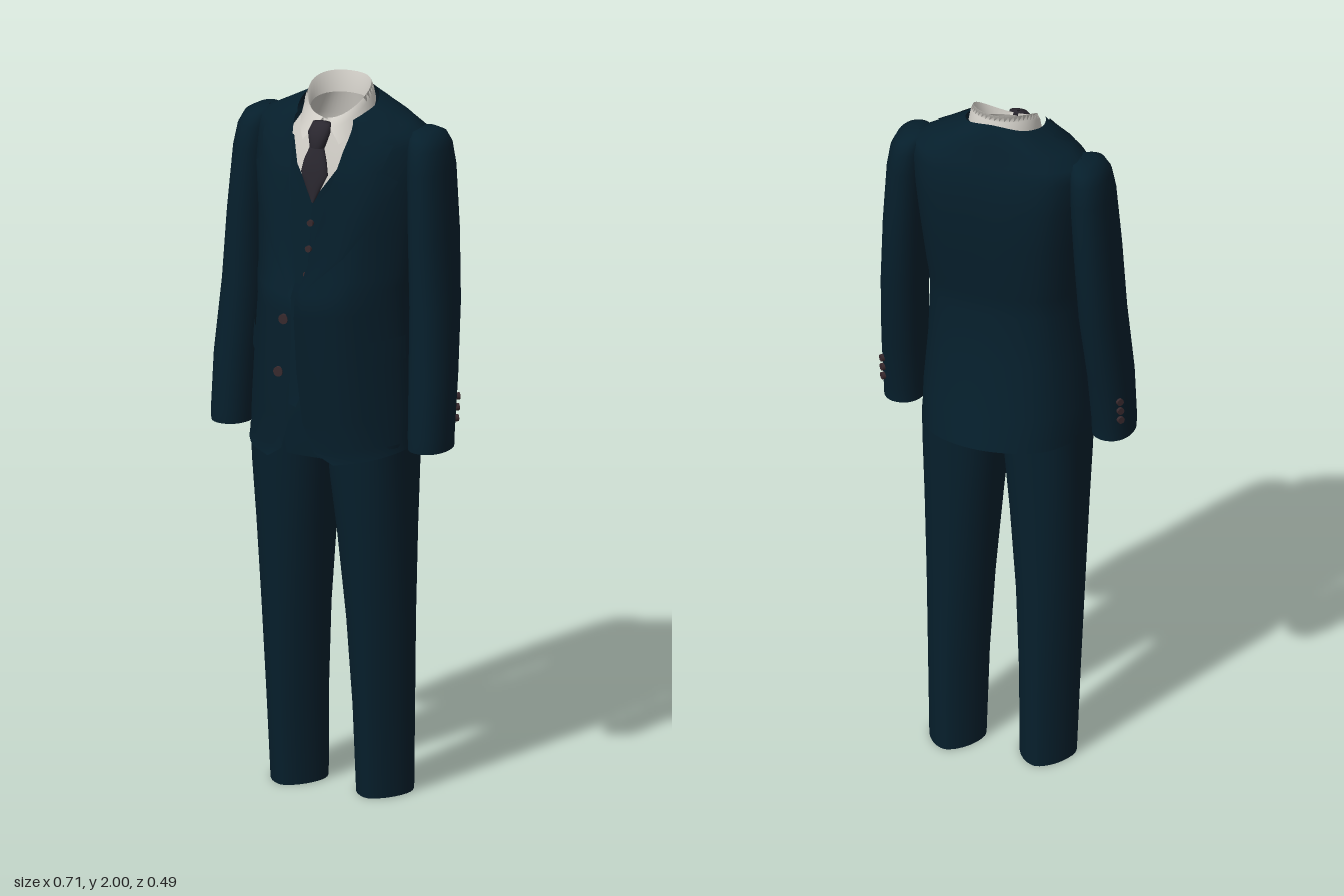
import * as THREE from 'three';

const mat = (name, color) => new THREE.MeshStandardMaterial({ name, color, side: THREE.DoubleSide });
const V = (x, y, z) => new THREE.Vector3(x, y, z);

// Skin a list of equal-length point rings
function loft(rings, closed) {
  const n = rings[0].length, idx = [];
  const pos = rings.flatMap(r => r.flatMap(p => [p.x, p.y, p.z]));
  for (let r = 0; r < rings.length - 1; r++) {
    for (let i = 0; i < (closed ? n : n - 1); i++) {
      const a = r * n + i, b = r * n + (i + 1) % n;
      idx.push(a, a + n, b, b, a + n, b + n);
    }
  }
  const g = new THREE.BufferGeometry();
  g.setAttribute('position', new THREE.Float32BufferAttribute(pos, 3));
  g.setIndex(idx);
  g.computeVertexNormals();
  return g;
}

// Closed ring; p below 1 makes it squarer, above 1 more creased
function ring(cx, y, cz, rx, rz, p = 1, n = 28) {
  const f = v => Math.sign(v) * Math.abs(v) ** p;
  return Array.from({ length: n }, (_, i) => {
    const a = i / n * Math.PI * 2;
    return V(cx + rx * f(Math.sin(a)), y, cz + rz * f(Math.cos(a)));
  });
}

// Garment levels: y, front edge x, front z, half width, side z, back z, front dy, back dy, back fullness
const JACKET = [
  [1.0, 0.1, 0.195, 0.235, 0.0, -0.244, -0.018, 0.015, 0.73],
  [1.03, 0.05, 0.212, 0.235, 0.0, -0.238, -0.015, 0.01, 0.73],
  [1.1, 0.022, 0.226, 0.234, 0.0, -0.222, 0, 0, 0.74],
  [1.25, 0.01, 0.238, 0.224, 0.0, -0.185, 0, 0, 0.76],
  [1.4, 0.004, 0.242, 0.217, -0.01, -0.168, 0, 0, 0.8],
  [1.46, 0.006, 0.24, 0.22, -0.015, -0.174, 0, 0, 0.82],
  [1.49, 0.012, 0.203, 0.224, -0.02, -0.178, 0, 0, 0.82],
  [1.62, 0.036, 0.172, 0.235, -0.04, -0.192, 0, 0, 0.85],
  [1.75, 0.062, 0.135, 0.25, -0.05, -0.2, 0, 0, 0.87],
  [1.84, 0.077, 0.094, 0.258, -0.07, -0.192, 0, 0, 0.87],
  [1.875, 0.085, 0.074, 0.25, -0.075, -0.177, 0, 0, 0.85],
  [1.9, 0.088, 0.063, 0.2, -0.07, -0.167, -0.005, 0.02, 0.82],
  [1.93, 0.088, 0.054, 0.14, -0.06, -0.155, -0.018, 0.025, 0.75],
  [1.945, 0.084, 0.048, 0.107, -0.05, -0.14, -0.025, 0.035, 0.7],
];
const VEST = [
  [1.15, 0.03, 0.165, 0.2, 0, -0.15, -0.03, 0, 0.75],
  [1.2, 0.0, 0.168, 0.2, 0, -0.15, -0.01, 0, 0.75],
  [1.4, 0.0, 0.165, 0.195, 0, -0.145, 0, 0, 0.75],
  [1.5, 0.0, 0.155, 0.2, -0.01, -0.15, 0, 0, 0.75],
  [1.7, 0.0, 0.122, 0.215, -0.04, -0.17, 0, 0, 0.8],
  [1.79, 0.06, 0.096, 0.22, -0.06, -0.17, 0, 0, 0.8],
  [1.86, 0.085, 0.066, 0.2, -0.07, -0.16, 0, 0, 0.8],
];
const SHIRT = [
  [1.6, 0.0, 0.12, 0.18, -0.04, -0.15, 0, 0, 0.75],
  [1.7, 0.0, 0.106, 0.19, -0.04, -0.15, 0, 0, 0.75],
  [1.8, 0.0, 0.08, 0.18, -0.05, -0.15, 0, 0, 0.75],
  [1.87, 0.0, 0.056, 0.13, -0.05, -0.14, 0, 0, 0.75],
  [1.93, 0.0, 0.042, 0.088, -0.04, -0.12, -0.02, 0.03, 0.68],
];

function levelAt(table, y) {
  const i = Math.max(0, Math.min(table.length - 2, table.findIndex(l => l[0] > y) - 1));
  const t = (y - table[i][0]) / (table[i + 1][0] - table[i][0]);
  return table[i].map((v, k) => v + (table[i + 1][k] - v) * t);
}

// Curve from one front edge around the back to the other front edge
function section([y, ex, zF, w, zs, zB, dF, dB, full]) {
  const half = [
    V(ex, y + dF, zF),
    V(ex + (w - ex) * 0.6, y + dF * 0.6, zs + (zF - zs) * 0.68),
    V(w, y, zs),
    V(w * 0.72, y + dB * 0.5, zs + (zB - zs) * full),
  ];
  const mirror = half.map(p => V(-p.x, p.y, p.z)).reverse();
  return new THREE.CatmullRomCurve3([...half, V(0, y + dB, zB), ...mirror]);
}
const shell = table => loft(table.map(l => section(l).getPoints(64)), false);

// Thin patch lying on the jacket; rows are [y, uStart, uEnd], u = 0 at the front edge, 1 at the back
function patch(rows, lift, side) {
  return loft(rows.map(([y, u0, u1]) => {
    const c = section(levelAt(JACKET, y));
    return Array.from({ length: 9 }, (_, i) => {
      const t = (u0 + (u1 - u0) * i / 8) / 2, p = c.getPoint(t), d = c.getTangent(t);
      p.addScaledVector(V(-d.z, 0, d.x).normalize(), lift);
      return V(p.x * side, p.y, p.z);
    });
  }), false);
}

export function createModel() {
  const navy = mat('navy cloth', 0x061f2c);
  const white = mat('shirt white', 0xd2cfc8);
  const plum = mat('dark tie', 0x2a272f);
  const brown = mat('button brown', 0x38292d);
  const model = new THREE.Group();
  model.name = 'threePieceSuit';
  const add = (name, geometry, material) => {
    const m = new THREE.Mesh(geometry, material);
    m.name = name;
    model.add(m);
    return m;
  };

  add('jacketBody', shell(JACKET), navy);
  add('waistcoat', shell(VEST), navy);
  add('shirtBody', shell(SHIRT), white);

  // Shirt collar: stand, fold line and turned-down leaf with points
  const collar = [ // rx, rz, y, front drop, front gap angle, forward push
    [0.08, 0.076, 1.94, 0.04, 0.1, 0], [0.087, 0.084, 2.0, 0.085, 0.08, 0],
    [0.094, 0.09, 1.985, 0.095, 0.25, 0.014], [0.1, 0.097, 1.955, 0.12, 0.58, 0.042]];
  add('shirtCollar', loft(collar.map(([rx, rz, y, drop, gap, push]) =>
    Array.from({ length: 41 }, (_, i) => {
      const a = gap + (Math.PI * 2 - gap * 2) * i / 40, f = (Math.cos(a) + 1) / 2;
      return V(rx * Math.sin(a), y - drop * f ** 2, -0.037 + rz * Math.cos(a) + push * f ** 4);
    })), false), white);

  // Tie
  const tieRings = rows => loft(rows.map(([y, rx, z, rz]) => ring(0, y, z, rx, rz, 0.9, 16)), true);
  add('tieKnot', tieRings([[1.911, 0.004, 0.066, 0.004], [1.908, 0.026, 0.068, 0.016], [1.885, 0.032, 0.083, 0.022],
    [1.845, 0.021, 0.094, 0.018], [1.838, 0.004, 0.094, 0.004]]), plum);
  add('tieBlade', tieRings([[1.85, 0.019, 0.095, 0.012], [1.81, 0.034, 0.106, 0.013], [1.775, 0.041, 0.111, 0.012],
    [1.74, 0.025, 0.116, 0.009], [1.695, 0.003, 0.121, 0.005]]), plum);

  // Trousers: pelvis plus a hollow, creased leg on each side
  add('trouserSeat', loft([
    ring(0, 0.97, -0.015, 0.228, 0.135, 0.8, 40), ring(0, 1.1, -0.005, 0.215, 0.14, 0.85, 40),
    ring(0, 1.25, 0, 0.19, 0.135, 0.9, 40)], true), navy);
  const LEG = [ // y, inner x, outer x, front z, back z, crease
    [0, 0.052, 0.208, 0.052, -0.16, 1.22], [0.25, 0.047, 0.215, 0.068, -0.156, 1.2],
    [0.5, 0.035, 0.222, 0.083, -0.148, 1.12], [0.75, 0.018, 0.227, 0.1, -0.147, 0.95],
    [0.92, 0.004, 0.231, 0.115, -0.15, 0.84], [1.02, 0, 0.232, 0.122, -0.152, 0.8]];
  const SLEEVE = [ // y, centre x, centre z, half width, half depth
    [1.886, 0.232, -0.075, 0.002, 0.004], [1.883, 0.24, -0.075, 0.03, 0.045], [1.87, 0.25, -0.073, 0.044, 0.07],
    [1.84, 0.257, -0.071, 0.052, 0.086], [1.78, 0.264, -0.068, 0.055, 0.096],
    [1.6, 0.275, -0.06, 0.058, 0.1], [1.4, 0.285, -0.048, 0.06, 0.093],
    [1.2, 0.296, -0.016, 0.06, 0.084], [1.05, 0.299, 0.002, 0.058, 0.077], [1.01, 0.299, 0.003, 0.057, 0.076]];
  for (const s of [1, -1]) {
    const side = s > 0 ? 'left' : 'right';
    add(side + 'TrouserLeg', loft(LEG.map(([y, a, b, f, k, p]) =>
      ring(s * (a + b) / 2, y, (f + k) / 2, (b - a) / 2, (f - k) / 2, p)), true), navy);
    add(side + 'Sleeve', loft(SLEEVE.map(([y, x, z, rx, rz]) => ring(s * x, y, z, rx, rz, 0.93)), true), navy);

    // Lapel with a notch, and hip pocket flap
    add(side + 'Lapel', patch([[1.47, 0, 0.02], [1.56, 0, 0.16], [1.66, 0, 0.27], [1.76, 0, 0.34],
      [1.79, 0, 0.24], [1.84, 0, 0.26], [1.89, 0, 0.36], [1.93, 0, 0.5]], 0.005, s), navy);
    add(side + 'PocketFlap', patch([[1.32, 0.3, 0.48], [1.255, 0.3, 0.48]], 0.005, s), navy);

    // Cuff buttons
    for (const y of [1.08, 1.11, 1.14]) {
      const b = add(side + 'CuffButton', new THREE.CylinderGeometry(0.01, 0.01, 0.01, 12), brown);
      b.position.set(s * 0.342, y, -0.064 - (y - 1.08) * 0.12);
      b.rotation.set(0, s * 0.75, -s * Math.PI / 2);
    }
  }

  // Front buttons of the jacket and waistcoat
  const button = (name, x, y, z, r) => {
    const b = add(name, new THREE.CylinderGeometry(r, r, 0.008, 16), brown);
    b.rotation.x = Math.PI / 2;
    b.position.set(x, y, z);
  };
  for (const [y, t] of [[1.39, 0.027], [1.235, 0.04]]) {
    const p = section(levelAt(JACKET, y)).getPoint(t);
    button('jacketButton', -p.x, y, p.z + 0.005, 0.014);
  }
  for (const y of [1.64, 1.57, 1.5]) button('waistcoatButton', 0, y, levelAt(VEST, y)[2] + 0.004, 0.009);

  return model;
}
